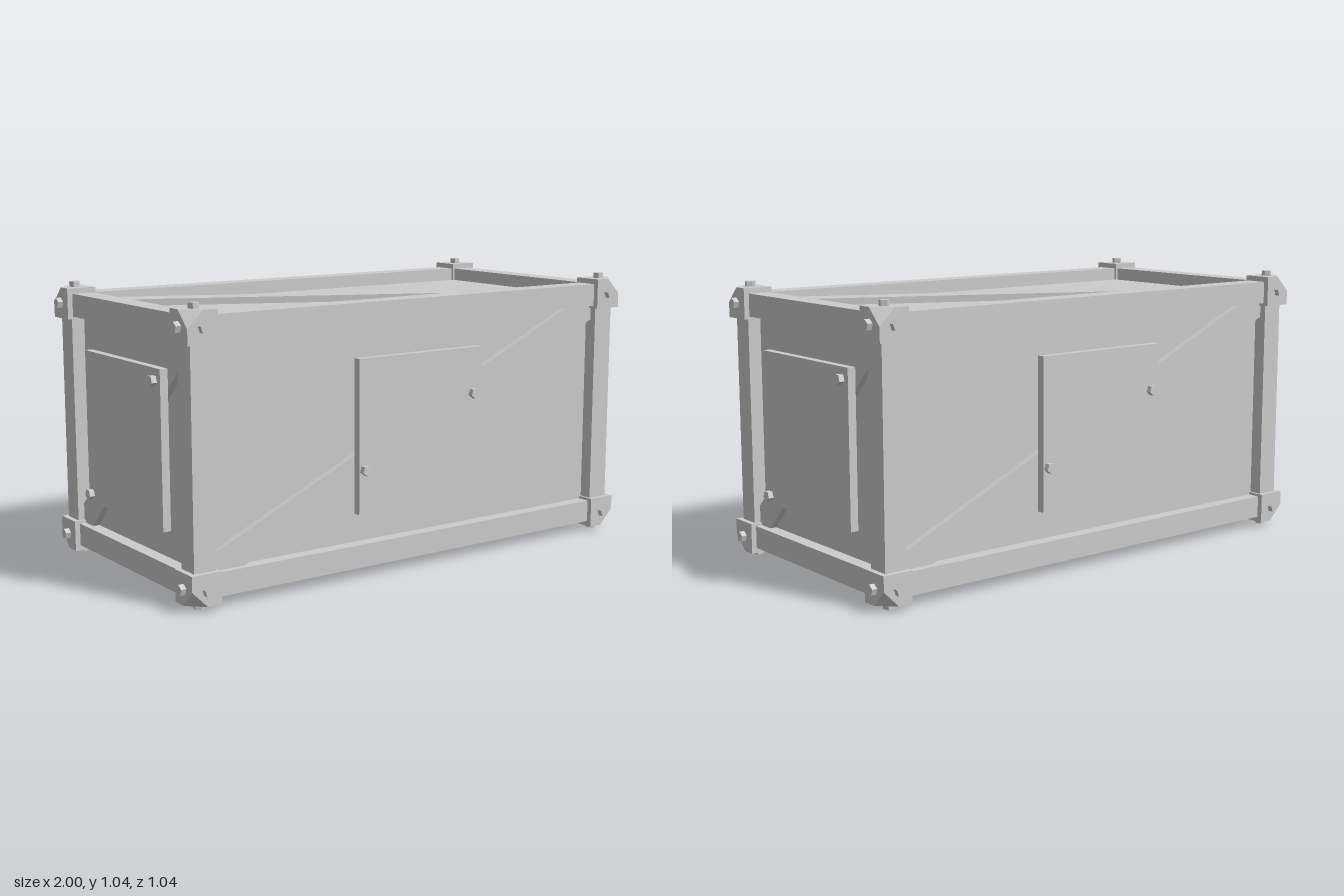
import * as THREE from 'three';
import { ConvexGeometry } from 'three/addons/geometries/ConvexGeometry.js';

const HALF = { x: 0.96, y: 0.48, z: 0.48 };   // outer half size of the beam frame
const BEAM = 0.085;
const RECESS = 0.05;                          // how far the walls sit behind the beams
const material = new THREE.MeshStandardMaterial({ color: 0xcccccc, flatShading: true });

function add(parent, name, geometry, x = 0, y = 0, z = 0) {
  const mesh = new THREE.Mesh(geometry, material);
  mesh.name = name;
  mesh.position.set(x, y, z);
  parent.add(mesh);
  return mesh;
}

// Five-sided bolt head with its axis along local z
function boltGeometry(height, turn = 0) {
  return new THREE.CylinderGeometry(0.02, 0.02, height, 5, 1, false, turn).rotateX(Math.PI / 2);
}

// Diagonal brace trimmed to the beam opening of a w by h face
function braceGeometry(w, h, slope) {
  const a = w / 2 - BEAM, b = h / 2 - BEAM;
  const q = 0.052 * Math.hypot(a, b) / a, p = q * a / b;
  const outline = [[-a, -b], [-a + p, -b], [a, b - q], [a, b], [a - p, b], [-a, -b + q]];
  const shape = new THREE.Shape(outline.map(([x, y]) => new THREE.Vector2(x * slope, y)));
  return new THREE.ExtrudeGeometry(shape, { depth: 0.035, bevelEnabled: false });
}

// One face, built facing +z: brace, corner bolts and optionally a bolted plate
function makeFace(name, w, h, depth, slope, plateBolts) {
  const face = new THREE.Group();
  face.name = name;
  add(face, 'brace', braceGeometry(w, h, slope), 0, 0, depth - RECESS - 0.01);
  for (const sx of [-1, 1]) for (const sy of [-1, 1]) {
    add(face, 'cornerBolt', boltGeometry(0.03, Math.PI),
      sx * (w / 2 - 0.038), sy * (h / 2 - 0.038), depth + 0.025);
  }
  if (plateBolts) {
    add(face, 'plate', new THREE.BoxGeometry(0.565, 0.565, 0.03), 0, 0, depth - 0.01);
    for (const [x, y] of plateBolts) add(face, 'plateBolt', boltGeometry(0.03), x, y, depth + 0.01);
  }
  return face;
}

// Corner block with its outermost corner cut off
function cornerGeometry(sx, sy, sz) {
  const s = 0.115, cut = 0.06, h = s / 2, points = [];
  for (const x of [-h, h]) for (const y of [-h, h]) for (const z of [-h, h]) {
    if (x + y + z < s * 1.4) points.push([x, y, z]);
  }
  points.push([h - cut, h, h], [h, h - cut, h], [h, h, h - cut]);
  return new ConvexGeometry(points.map(([x, y, z]) => new THREE.Vector3(x * sx, y * sy, z * sz)));
}

export function createModel() {
  const model = new THREE.Group();
  model.name = 'crate';
  const crate = new THREE.Group();
  crate.name = 'crateBody';
  crate.position.y = 0.52;
  model.add(crate);

  // Recessed walls
  add(crate, 'walls', new THREE.BoxGeometry(
    2 * (HALF.x - RECESS), 2 * (HALF.y - RECESS), 2 * (HALF.z - RECESS)));

  // Twelve edge beams, ending inside the corner blocks
  for (const axis of ['x', 'y', 'z']) {
    const [u, v] = ['x', 'y', 'z'].filter((k) => k !== axis);
    for (const su of [-1, 1]) for (const sv of [-1, 1]) {
      const size = { x: BEAM, y: BEAM, z: BEAM };
      size[axis] = 2 * (HALF[axis] - BEAM);
      const beam = add(crate, axis === 'y' ? 'post' : 'beam',
        new THREE.BoxGeometry(size.x, size.y, size.z));
      beam.position[u] = su * (HALF[u] - BEAM / 2);
      beam.position[v] = sv * (HALF[v] - BEAM / 2);
    }
  }

  // Eight corner blocks
  for (const sx of [-1, 1]) for (const sy of [-1, 1]) for (const sz of [-1, 1]) {
    add(crate, 'cornerBlock', cornerGeometry(sx, sy, sz),
      sx * (HALF.x - 0.0375), sy * (HALF.y - 0.0375), sz * (HALF.z - 0.0375));
  }

  // Side faces, each opposite pair alike
  const W = 2 * HALF.x, H = 2 * HALF.y, D = 2 * HALF.z;
  const longBolts = [[0.24, 0.11], [-0.26, -0.12]];
  const endBolts = [[0.243, 0.24], [-0.257, -0.252]];
  ['front', 'left', 'back', 'right'].forEach((name, i) => {
    const face = i % 2
      ? makeFace(name + 'Face', D, H, HALF.x, 1, endBolts)
      : makeFace(name + 'Face', W, H, HALF.z, 1, longBolts);
    face.rotation.y = i * Math.PI / 2;
    crate.add(face);
  });

  // Top and bottom faces
  for (const [name, turn] of [['topFace', -1], ['bottomFace', 1]]) {
    const face = makeFace(name, W, D, HALF.y, -1);
    face.rotation.x = turn * Math.PI / 2;
    crate.add(face);
  }
  return model;
}
